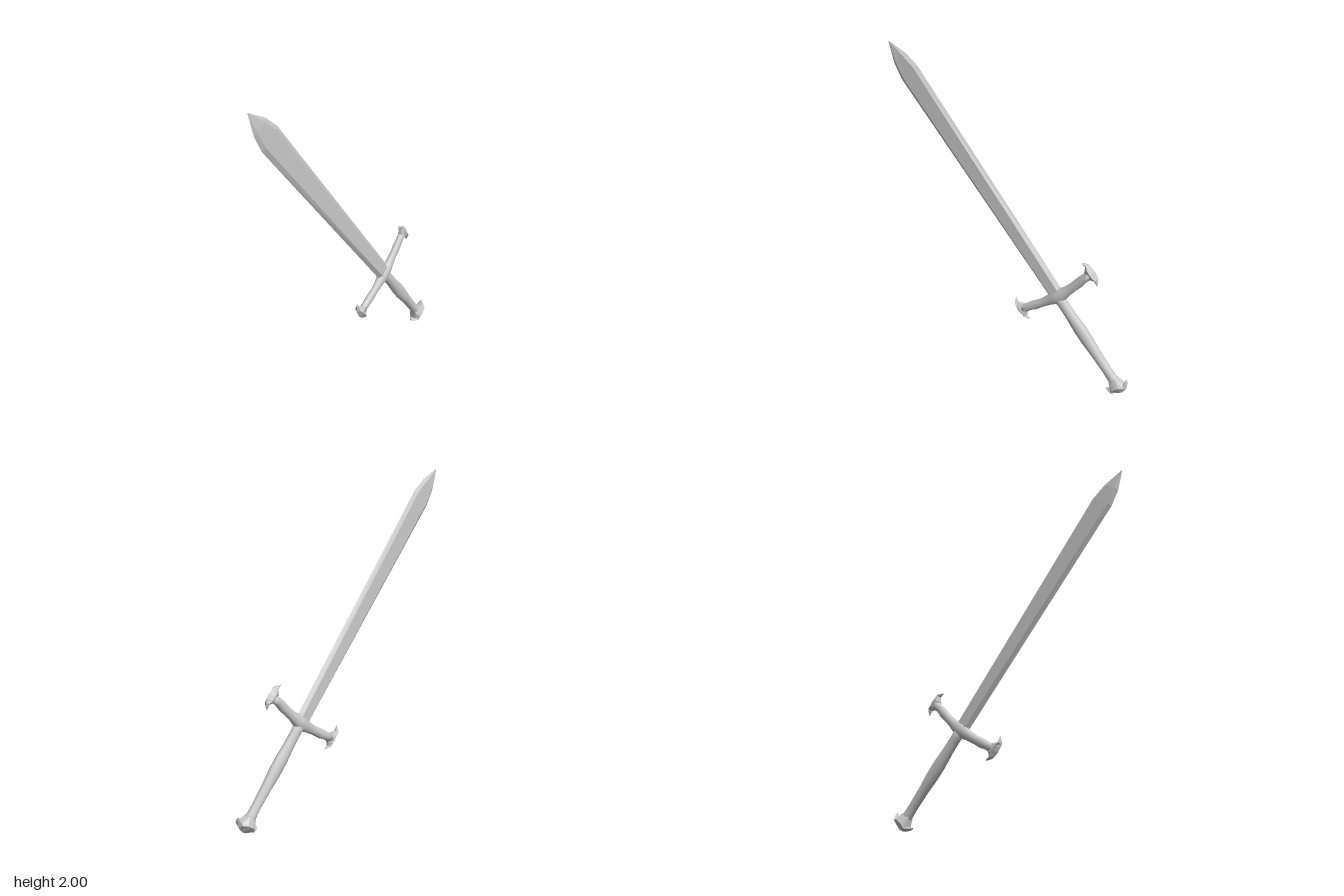
import * as THREE from 'three';

const smooth = new THREE.MeshStandardMaterial({ color: 0xcccccc });
const faceted = new THREE.MeshStandardMaterial({ color: 0xcccccc, flatShading: true });

// Skin a list of rings (arrays of [x, y, z]) and close both ends.
function loft(name, rings, material) {
  const n = rings[0].length;
  const pos = rings.flat(2);
  const idx = [];
  for (let r = 0; r < rings.length - 1; r++) {
    for (let i = 0; i < n; i++) {
      const a = r * n + i, b = r * n + (i + 1) % n;
      idx.push(a, b, a + n, b, b + n, a + n);
    }
  }
  const last = (rings.length - 1) * n;
  for (let i = 1; i < n - 1; i++) {
    idx.push(0, i + 1, i, last, last + i, last + i + 1);
  }
  // Turn the faces outward if the signed volume is negative.
  let volume = 0;
  const corner = k => new THREE.Vector3().fromArray(pos, idx[k] * 3);
  for (let k = 0; k < idx.length; k += 3) {
    volume += corner(k).dot(corner(k + 1).cross(corner(k + 2)));
  }
  if (volume < 0) idx.reverse();
  const geometry = new THREE.BufferGeometry();
  geometry.setAttribute('position', new THREE.Float32BufferAttribute(pos, 3));
  geometry.setIndex(idx);
  geometry.computeVertexNormals();
  const mesh = new THREE.Mesh(geometry, material);
  mesh.name = name;
  return mesh;
}

// Ellipse points as [cos * a, sin * b].
function ellipse(a, b, sides = 12) {
  return Array.from({ length: sides }, (_, i) => {
    const t = (i / sides) * Math.PI * 2;
    return [Math.cos(t) * a, Math.sin(t) * b];
  });
}

// Crescent end cap: apex at the origin, opening towards -y, wide along z.
function crescent(name, halfSpan, halfWidth, drop, depth) {
  // [position along the span, outer height, inner height, width]
  const half = [[0, 0, -1, 1], [0.3, -0.07, -0.95, 0.95], [0.6, -0.27, -0.75, 0.72],
    [0.85, -0.65, -0.88, 0.38], [1, -1, -1.02, 0.03]];
  const stations = [...half.slice(1).reverse().map(([s, ...r]) => [-s, ...r]), ...half];
  const rings = stations.map(([s, o, i, w]) => {
    const out = o * drop;
    const inn = Math.abs(s) < 0.5 ? i * depth : i * drop * 1.05;
    const mid = out + (inn - out) * 0.45, x = w * halfWidth, z = s * halfSpan;
    return [[0, out, z], [x, mid, z], [x * 0.5, inn, z], [-x * 0.5, inn, z], [-x, mid, z]];
  });
  return loft(name, rings, faceted);
}

export function createModel() {
  // Sword upright along y, guard along z, centred on the guard.
  const sword = new THREE.Group();
  sword.name = 'sword';

  // Blade: bevelled six-sided section, [y, half width, half flat, half thickness]
  const blade = [[-0.01, 0.055, 0.032, 0.021], [0.06, 0.056, 0.033, 0.021],
    [1.64, 0.081, 0.056, 0.015], [1.745, 0.059, 0.036, 0.013], [1.868, 0.002, 0.001, 0.001]];
  sword.add(loft('blade', blade.map(([y, w, f, t]) =>
    [[0, y, w], [t, y, f], [t, y, -f], [0, y, -w], [-t, y, -f], [-t, y, f]]), faceted));

  // Grip: swelling oval, [y, x radius, z radius]
  const grip = [[0.01, 0.03, 0.045], [-0.06, 0.028, 0.035], [-0.15, 0.03, 0.036],
    [-0.25, 0.032, 0.044], [-0.33, 0.032, 0.043], [-0.43, 0.031, 0.034],
    [-0.55, 0.028, 0.031], [-0.63, 0.03, 0.034], [-0.66, 0.035, 0.04]];
  sword.add(loft('grip', grip.map(([y, a, b]) =>
    ellipse(a, b).map(([x, z]) => [x, y, z])), smooth));

  // Guard: bar with ends curving towards the blade, [z, x radius, y radius, y offset]
  const arm = [[0, 0.035, 0.046, 0.002], [0.035, 0.033, 0.042, 0.002],
    [0.08, 0.026, 0.032, 0.004], [0.14, 0.022, 0.028, 0.01],
    [0.2, 0.024, 0.031, 0.018], [0.25, 0.022, 0.026, 0.026], [0.3, 0.023, 0.03, 0.03]];
  const bar = [...arm.slice(1).reverse().map(([z, ...r]) => [-z, ...r]), ...arm];
  sword.add(loft('guard', bar.map(([z, a, b, o]) =>
    ellipse(a, b).map(([x, y]) => [x, y + o, z])), smooth));

  // Guard end caps
  for (const side of [1, -1]) {
    const cap = crescent('guardCap', 0.084, 0.027, 0.048, 0.068);
    cap.rotation.x = side * Math.PI / 2;
    cap.position.set(0, 0.033, side * 0.342);
    sword.add(cap);
  }

  // Pommel
  const pommel = crescent('pommel', 0.088, 0.048, 0.064, 0.105);
  pommel.rotation.x = Math.PI;
  pommel.position.y = -0.718;
  sword.add(pommel);

  // Lean the sword with its point up and forward.
  sword.rotation.x = 0.701;
  sword.position.set(0, 0.573, -0.355);
  const model = new THREE.Group();
  model.add(sword);
  return model;
}
